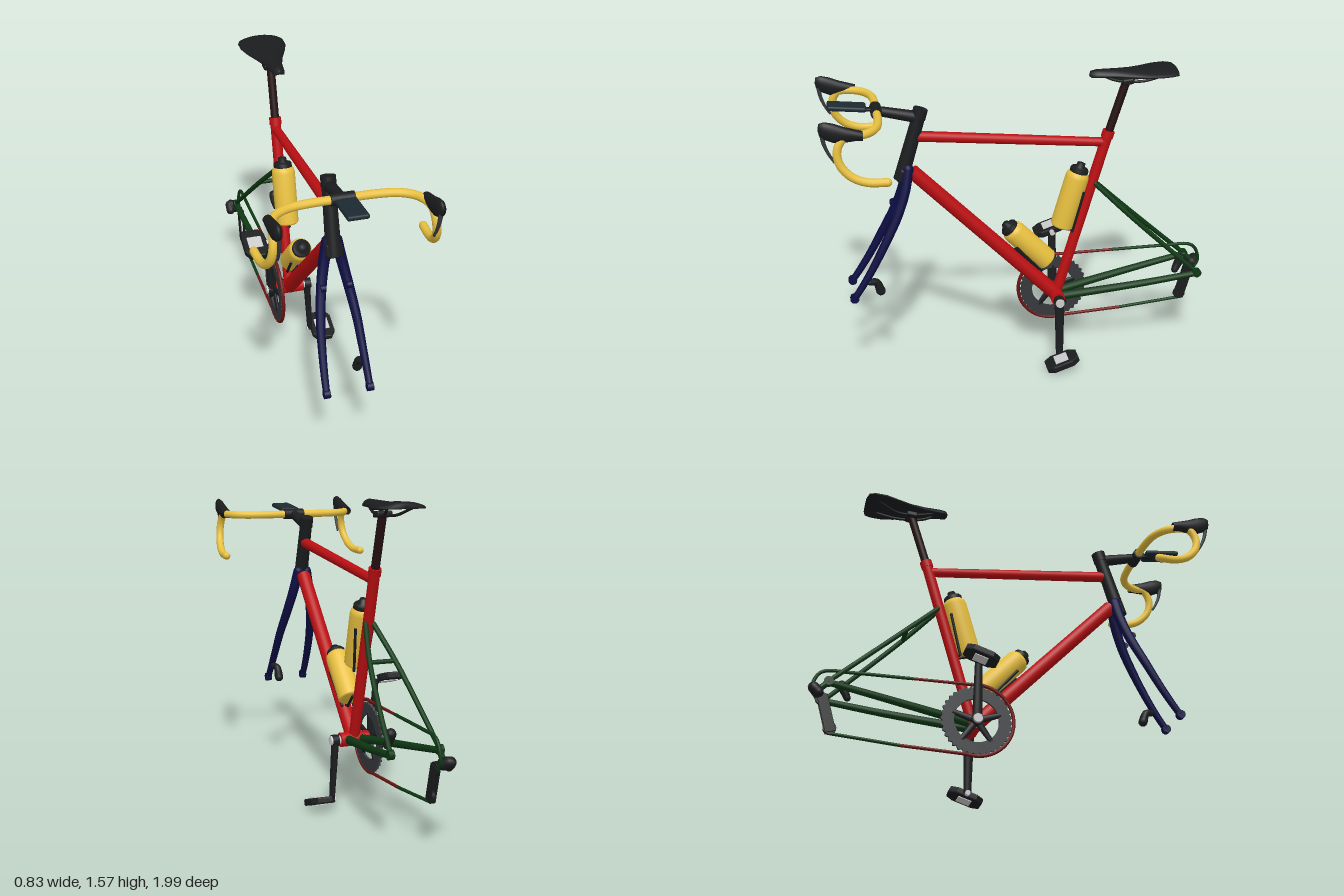
import * as THREE from 'three';
import { mergeGeometries } from 'three/addons/utils/BufferGeometryUtils.js';
import { RoundedBoxGeometry } from 'three/addons/geometries/RoundedBoxGeometry.js';

const RED = 0xbb0f12, BLACK = 0x1b1c1e, YELLOW = 0xe8c040, BLUE = 0x0d0d42, GREEN = 0x0e3814,
  GREY = 0xcccccc, STEEL = 0x36383c, CHAINRED = 0x6a1414;
const mats = {};
const mat = (c) => (mats[c] ??= new THREE.MeshStandardMaterial({ color: c, side: THREE.DoubleSide }));
const V = (p) => new THREE.Vector3(...p);
const UP = new THREE.Vector3(0, 1, 0);

export function createModel() {
  const model = new THREE.Group();
  const add = (name, geo, color, parent = model) => {
    const m = new THREE.Mesh(geo, mat(color));
    m.name = name;
    parent.add(m);
    return m;
  };
  // Straight round bar from a to b, optionally tapered
  const rod = (name, a, b, r0, r1, color, parent = model) => {
    const A = V(a), B = V(b), d = B.clone().sub(A);
    const m = add(name, new THREE.CylinderGeometry(r1, r0, d.length(), 24), color, parent);
    m.position.copy(A).add(B).multiplyScalar(0.5);
    m.quaternion.setFromUnitVectors(UP, d.normalize());
    return m;
  };
  // Curved tapered tube with rounded ends
  const bend = (name, pts, r0, r1, color, steps = 32) => {
    const curve = new THREE.CatmullRomCurve3(pts.map(V), false, 'centripetal');
    const geo = new THREE.TubeGeometry(curve, steps, 1, 12);
    const p = geo.attributes.position, v = new THREE.Vector3();
    for (let i = 0; i < p.count; i++) {
      const t = Math.floor(i / 13) / steps, c = curve.getPointAt(t);
      v.fromBufferAttribute(p, i).sub(c).multiplyScalar(r0 + (r1 - r0) * t).add(c);
      p.setXYZ(i, v.x, v.y, v.z);
    }
    const ends = [[0, r0], [1, r1]].map(([t, r]) => {
      const c = curve.getPointAt(t);
      return new THREE.SphereGeometry(r, 12, 8).translate(c.x, c.y, c.z);
    });
    return add(name, mergeGeometries([geo, ...ends]), color);
  };
  const block = (name, size, pos, rx, color, radius = 0.012) => {
    const m = add(name, new RoundedBoxGeometry(...size, 3, radius), color);
    m.position.set(...pos);
    m.rotation.x = rx;
    return m;
  };
  // Smooth skin over elliptical sections [z, y, halfWidth, halfHeight]
  const loft = (name, sections, x, color, droop = 0) => {
    const n = 24, pos = [], idx = [];
    sections.forEach(([z, y, w, h], j) => {
      for (let i = 0; i < n; i++) {
        const a = (i / n) * Math.PI * 2, c = Math.cos(a);
        pos.push(x + w * c, y + h * Math.sin(a) - droop * c * c, z);
        if (j) {
          const a0 = (j - 1) * n + i, a1 = (j - 1) * n + (i + 1) % n;
          idx.push(a0, a1, a0 + n, a1, a1 + n, a0 + n);
        }
      }
    });
    const geo = new THREE.BufferGeometry();
    geo.setAttribute('position', new THREE.Float32BufferAttribute(pos, 3));
    geo.setIndex(idx);
    geo.computeVertexNormals();
    return add(name, geo, color);
  };

  // Main frame
  const BB = [0, 0.35, -0.18];
  rod('downTube', BB, [0, 1.09, 0.55], 0.038, 0.036, RED);
  rod('seatTube', BB, [0, 1.235, -0.44], 0.027, 0.027, RED);
  rod('topTube', [0, 1.27, 0.52], [0, 1.18, -0.425], 0.027, 0.023, RED);
  rod('bottomBracket', [-0.075, 0.35, -0.18], [0.075, 0.35, -0.18], 0.036, 0.036, RED);
  rod('crankAxle', [-0.115, 0.35, -0.18], [0.125, 0.35, -0.18], 0.022, 0.022, GREY);
  rod('headTube', [0, 1.05, 0.605], [0, 1.39, 0.5], 0.037, 0.032, BLACK);
  rod('seatClamp', [0, 1.205, -0.431], [0, 1.24, -0.442], 0.031, 0.031, RED);
  rod('seatpost', [0, 1.2, -0.43], [0, 1.5, -0.525], 0.021, 0.021, 0x251012);

  // Saddle with rails
  loft('saddle', [[-0.335, 1.54, 0.005, 0.004], [-0.342, 1.54, 0.026, 0.014], [-0.37, 1.542, 0.033, 0.018],
    [-0.46, 1.542, 0.045, 0.018], [-0.54, 1.541, 0.07, 0.018], [-0.61, 1.543, 0.1, 0.018], [-0.67, 1.548, 0.12, 0.018],
    [-0.73, 1.552, 0.121, 0.017], [-0.76, 1.552, 0.108, 0.014], [-0.77, 1.551, 0.07, 0.006], [-0.771, 1.551, 0, 0]], 0, BLACK, 0.012);
  for (const s of [-1, 1]) {
    bend('saddleRail', [[s * 0.015, 1.535, -0.39], [s * 0.025, 1.505, -0.47], [s * 0.03, 1.497, -0.6], [s * 0.06, 1.535, -0.71]], 0.007, 0.007, BLACK);
  }
  block('saddleClamp', [0.08, 0.03, 0.06], [0, 1.498, -0.525], 0.1, BLACK, 0.01);

  // Stem, handlebar clamp and computer
  rod('stem', [0, 1.365, 0.5], [0, 1.41, 0.7], 0.03, 0.024, BLACK);
  rod('stemCap', [0, 1.36, 0.51], [0, 1.41, 0.495], 0.036, 0.036, BLACK);
  rod('barClamp', [-0.055, 1.413, 0.71], [0.055, 1.413, 0.71], 0.028, 0.028, BLACK);
  block('computerMount', [0.03, 0.015, 0.1], [0, 1.422, 0.76], -0.1, BLACK, 0.006);
  block('computer', [0.1, 0.024, 0.185], [0, 1.44, 0.848], -0.1, 0x1c2a32, 0.01);

  for (const s of [-1, 1]) {
    // Drop handlebar half, brake hood and lever
    bend('handlebar', [[0, 1.413, 0.71], [s * 0.15, 1.412, 0.71], [s * 0.25, 1.412, 0.725], [s * 0.315, 1.412, 0.765],
      [s * 0.345, 1.412, 0.82], [s * 0.355, 1.405, 0.88], [s * 0.362, 1.35, 0.91], [s * 0.37, 1.285, 0.9],
      [s * 0.38, 1.228, 0.85], [s * 0.387, 1.2, 0.78], [s * 0.393, 1.197, 0.69]], 0.02, 0.02, YELLOW, 64);
    loft('brakeHood', [[0.99, 1.455, 0, 0], [0.985, 1.455, 0.014, 0.028], [0.96, 1.448, 0.021, 0.042], [0.92, 1.435, 0.024, 0.046],
      [0.87, 1.425, 0.024, 0.036], [0.82, 1.42, 0.023, 0.026], [0.79, 1.415, 0.021, 0.022]], s * 0.355, BLACK);
    bend('brakeLever', [[s * 0.352, 1.44, 0.975], [s * 0.35, 1.38, 0.965], [s * 0.349, 1.33, 0.945], [s * 0.348, 1.295, 0.925]], 0.011, 0.006, STEEL);

    // Fork blade
    bend('forkBlade', [[s * 0.022, 1.11, 0.57], [s * 0.045, 1.0, 0.592], [s * 0.068, 0.88, 0.635], [s * 0.088, 0.75, 0.7],
      [s * 0.098, 0.62, 0.77], [s * 0.103, 0.53, 0.825], [s * 0.105, 0.475, 0.862]], 0.028, 0.017, BLUE);
    rod('forkDropout', [s * 0.09, 0.468, 0.868], [s * 0.12, 0.468, 0.868], 0.022, 0.022, BLUE);
    rod('forkBoss', [s * 0.052, 0.905, 0.645], [s * 0.074, 0.905, 0.645], 0.018, 0.018, BLUE);

    // Rear triangle
    bend('chainstay', [[s * 0.035, 0.352, -0.2], [s * 0.06, 0.378, -0.37], [s * 0.095, 0.42, -0.64], [s * 0.12, 0.465, -0.91]], 0.022, 0.016, GREEN);
    bend('seatstay', [[s * 0.02, 0.965, -0.375], [s * 0.065, 0.81, -0.535], [s * 0.1, 0.62, -0.74], [s * 0.12, 0.48, -0.895]], 0.013, 0.012, GREEN);
    rod('rearDropout', [s * 0.108, 0.468, -0.905], [s * 0.135, 0.468, -0.905], 0.023, 0.023, GREEN);
  }
  block('forkCrown', [0.085, 0.08, 0.06], [0, 1.075, 0.59], -0.3, BLACK, 0.02);
  rod('seatstayBridge', [-0.065, 0.81, -0.535], [0.065, 0.81, -0.535], 0.011, 0.011, GREEN);

  // Disc brake calipers on the left side
  bend('frontCaliper', [[0.1, 0.55, 0.79], [0.088, 0.54, 0.755], [0.085, 0.49, 0.735]], 0.016, 0.024, BLACK);
  bend('rearCaliper', [[0.085, 0.54, -0.825], [0.085, 0.51, -0.81], [0.09, 0.48, -0.795]], 0.026, 0.018, BLACK);

  // Cranks and pedals, one down on the left and one up on the right
  for (const s of [-1, 1]) {
    const y = s > 0 ? 0.045 : 0.65;
    const arm = rod('crankArm', [s * 0.1, 0.35, -0.18], [s * 0.118, y, -0.18], 0.026, 0.019, BLACK);
    arm.scale.x = 0.7;
    rod('crankHub', [s * 0.085, 0.35, -0.18], [s * 0.118, 0.35, -0.18], 0.029, 0.029, BLACK);
    rod('crankBolt', [s * 0.116, 0.35, -0.18], [s * 0.127, 0.35, -0.18], 0.024, 0.022, GREY);
    rod('pedalAxle', [s * 0.1, y, -0.18], [s * 0.2, y, -0.18], 0.013, 0.013, GREY);
    // Eight-sided pedal body
    const shape = new THREE.Shape([[-0.058, -0.05], [-0.035, -0.082], [0.035, -0.082], [0.058, -0.05],
      [0.058, 0.05], [0.035, 0.082], [-0.035, 0.082], [-0.058, 0.05]].map((p) => new THREE.Vector2(...p)));
    const geo = new THREE.ExtrudeGeometry(shape, { depth: 0.018, bevelSize: 0.005, bevelThickness: 0.008, bevelSegments: 2 });
    const pedal = new THREE.Group();
    pedal.name = 'pedal';
    add('pedalBody', geo.translate(0, 0, -0.009).rotateX(Math.PI / 2), BLACK, pedal);
    add('pedalPlate', new THREE.BoxGeometry(0.075, 0.042, 0.07), GREY, pedal);
    pedal.position.set(s * 0.185, y, -0.18);
    pedal.rotation.x = 0.33;
    model.add(pedal);
  }

  // Toothed chainring with spider arms
  const ring = new THREE.Shape();
  const teeth = 36;
  for (let i = 0; i < teeth * 2; i++) {
    const a = (i / teeth) * Math.PI, r = i % 2 ? 0.168 : 0.18;
    ring[i ? 'lineTo' : 'moveTo'](r * Math.cos(a), r * Math.sin(a));
  }
  ring.holes.push(new THREE.Path().absarc(0, 0, 0.112, 0, Math.PI * 2, true));
  add('chainring', new THREE.ExtrudeGeometry(ring, { depth: 0.012, bevelEnabled: false, curveSegments: 32 })
    .rotateY(Math.PI / 2).translate(-0.087, 0.35, -0.18), STEEL);
  for (let i = 0; i < 5; i++) {
    const a = (i / 5) * Math.PI * 2 + Math.PI / 2;
    rod('spiderArm', [-0.085, 0.35, -0.18], [-0.082, 0.35 + 0.125 * Math.sin(a), -0.18 + 0.125 * Math.cos(a)], 0.02, 0.013, BLACK).scale.x = 0.6;
  }

  // Chain: arc round the front of the ring, then two runs to the rear
  const arc = [];
  for (let i = 0; i <= 16; i++) {
    const a = Math.PI * (0.55 - (i / 16) * 1.13);
    arc.push([-0.08, 0.355 + 0.186 * Math.sin(a), -0.18 + 0.186 * Math.cos(a)]);
  }
  bend('chainFront', arc, 0.009, 0.009, CHAINRED, 48);
  const top = arc[0], low = arc[16];
  rod('chainTopFront', top, [-0.082, 0.54, -0.5], 0.008, 0.007, CHAINRED);
  bend('chainTopRear', [[-0.082, 0.54, -0.5], [-0.085, 0.54, -0.8], [-0.086, 0.537, -0.92], [-0.087, 0.515, -0.955], [-0.09, 0.44, -0.98], [-0.09, 0.39, -0.955]], 0.008, 0.009, GREEN);
  rod('chainBottomFront', low, [-0.084, 0.19, -0.55], 0.008, 0.008, CHAINRED);
  rod('chainBottomRear', [-0.084, 0.19, -0.55], [-0.09, 0.218, -0.88], 0.008, 0.008, GREEN);

  // Rear derailleur
  rod('derailleurHanger', [-0.12, 0.465, -0.905], [-0.118, 0.42, -0.955], 0.014, 0.016, GREEN);
  bend('derailleurBody', [[-0.115, 0.415, -0.955], [-0.14, 0.425, -0.975], [-0.145, 0.4, -0.95]], 0.03, 0.024, BLACK);
  for (const x of [-0.102, -0.078]) block('derailleurCage', [0.006, 0.19, 0.052], [x, 0.315, -0.905], -0.27, BLACK, 0.003);
  for (const [y, z] of [[0.39, -0.93], [0.245, -0.885]]) {
    rod('jockeyWheel', [-0.098, y, z], [-0.082, y, z], 0.032, 0.032, BLACK);
  }

  // Bottles with cages, parallel to their tubes
  const profile = [[0, 0], [0.05, 0], [0.059, 0.01], [0.06, 0.2], [0.06, 0.275], [0.056, 0.295], [0.045, 0.308]].map((p) => new THREE.Vector2(...p));
  const lid = [[0.047, 0.3], [0.047, 0.322], [0.042, 0.33], [0.024, 0.335], [0.02, 0.355], [0, 0.358]].map((p) => new THREE.Vector2(...p));
  const bottle = (base, dir, side, len) => {
    const g = new THREE.Group();
    g.name = 'bottle';
    add('bottleBody', new THREE.LatheGeometry(profile, 32), YELLOW, g);
    add('bottleLid', new THREE.LatheGeometry(lid, 32), BLACK, g);
    for (const s of [-1, 1]) {
      rod('cageArm', [s * 0.03, -0.008, side * 0.055], [s * 0.045, 0.22, side * 0.045], 0.007, 0.007, BLACK, g);
    }
    rod('cageRail', [0, 0, side * 0.062], [0, 0.2, side * 0.062], 0.01, 0.01, BLACK, g);
    rod('cageFoot', [0, -0.008, side * 0.06], [0, -0.008, -side * 0.04], 0.007, 0.007, BLACK, g);
    g.position.set(...base);
    g.quaternion.setFromUnitVectors(UP, V(dir).normalize());
    g.scale.y = len;
    model.add(g);
  };
  bottle([0, 0.735, -0.205], [0, 0.885, -0.26], -1, 1);
  bottle([0, 0.545, -0.135], [0, 0.74, 0.73], 1, 0.9);

  return model;
}
